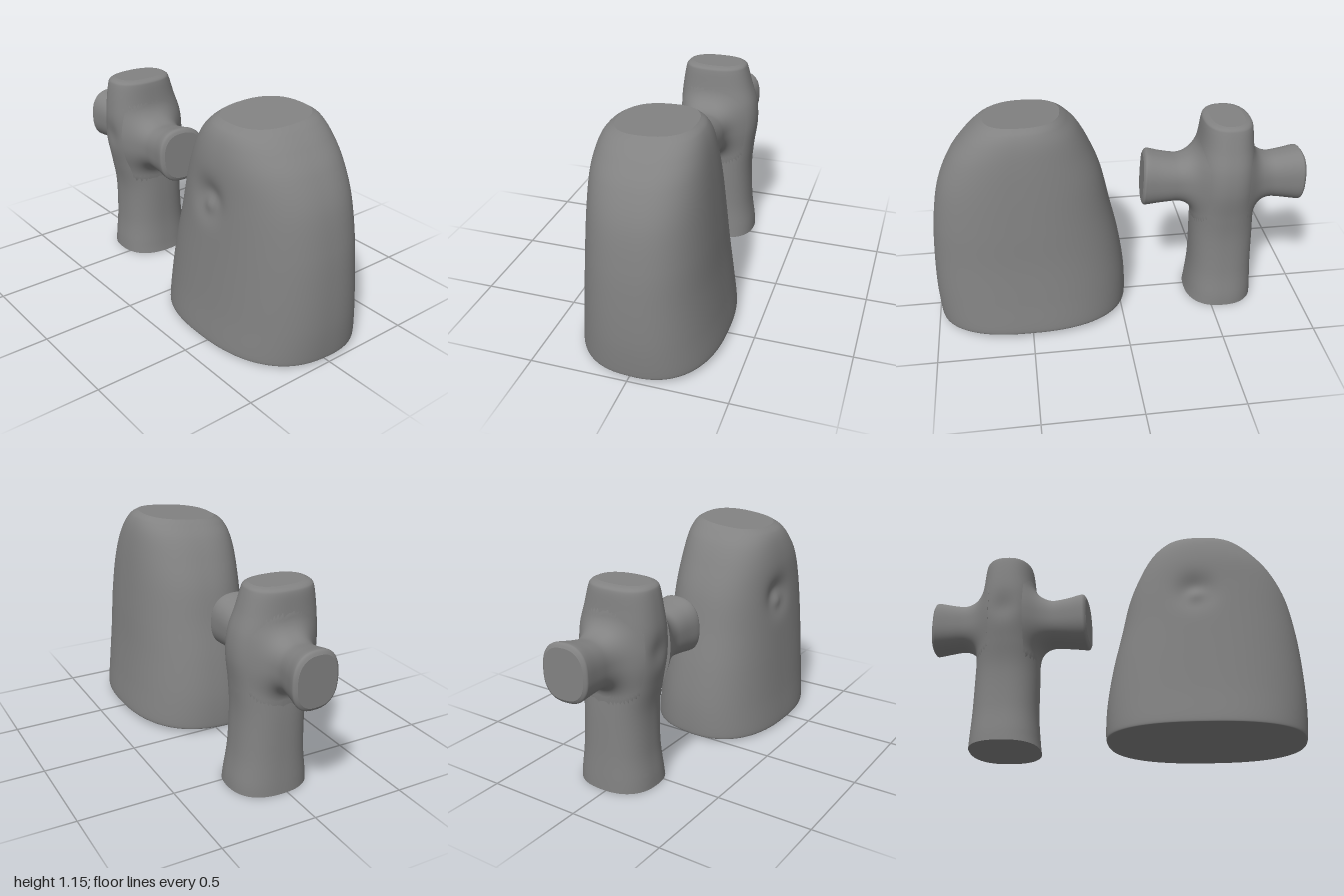
import * as THREE from 'three';

// Catmull-Rom sampling of rows of numbers, by row position u
function sampleRows(rows, u) {
  const i = Math.min(Math.floor(u), rows.length - 2), f = u - i;
  const at = (k) => rows[Math.max(0, Math.min(rows.length - 1, k))];
  return rows[0].map((_, c) => {
    const [a, b, d, e] = [at(i - 1)[c], at(i)[c], at(i + 1)[c], at(i + 2)[c]];
    const m0 = (d - a) / 2, m1 = (e - b) / 2;
    return b + f * (m0 + f * (3 * (d - b) - 2 * m0 - m1 + f * (2 * (b - d) + m0 + m1)));
  });
}

// Skin through superellipse sections. Row: [height, minX, maxX, minZ, maxZ];
// both ends get flat caps with sharp rims.
function loft(rows, { power, steps, segments, warp }) {
  const positions = [], index = [], rings = (rows.length - 1) * steps;
  const p = new THREE.Vector3();
  const push = (x, y, z) => {
    warp(p.set(x, y, z));
    positions.push(p.x, p.y, p.z);
  };
  const ring = (r) => {
    const [y, x0, x1, z0, z1] = sampleRows(rows, r / steps);
    for (let s = 0; s < segments; s++) {
      const t = (s / segments) * Math.PI * 2;
      const c = Math.cos(t), n = Math.sin(t);
      const cx = Math.sign(c) * Math.abs(c) ** (2 / power);
      const cz = Math.sign(n) * Math.abs(n) ** (2 / power);
      push((x0 + x1) / 2 + (cx * (x1 - x0)) / 2, y, (z0 + z1) / 2 + (cz * (z1 - z0)) / 2);
    }
  };
  for (let r = 0; r <= rings; r++) ring(r);
  for (let r = 0; r < rings; r++) {
    for (let s = 0; s < segments; s++) {
      const a = r * segments + s, b = r * segments + ((s + 1) % segments);
      index.push(a, a + segments, b, b, a + segments, b + segments);
    }
  }
  for (const end of [0, rings]) {
    const start = positions.length / 3;
    ring(end);
    const [y, x0, x1, z0, z1] = rows[end / steps];
    push((x0 + x1) / 2, y, (z0 + z1) / 2);
    const centre = start + segments;
    for (let s = 0; s < segments; s++) {
      const a = start + s, b = start + ((s + 1) % segments);
      if (end) index.push(centre, b, a);
      else index.push(centre, a, b);
    }
  }
  const g = new THREE.BufferGeometry();
  g.setAttribute('position', new THREE.Float32BufferAttribute(positions, 3));
  g.setIndex(index);
  g.computeVertexNormals();
  return g;
}

const uprightRows = [
  [0.0, -0.754, -0.38, -0.235, 0.18],
  [0.06, -0.752, -0.388, -0.23, 0.175],
  [0.2, -0.746, -0.4, -0.21, 0.16],
  [0.4, -0.743, -0.402, -0.2, 0.16],
  [0.55, -0.738, -0.405, -0.21, 0.187],
  [0.7, -0.735, -0.408, -0.228, 0.219],
  [0.82, -0.73, -0.415, -0.22, 0.22],
  [0.93, -0.718, -0.437, -0.187, 0.21],
  [1.02, -0.71, -0.45, -0.16, 0.195],
  [1.045, -0.697, -0.46, -0.148, 0.182],
  [1.055, -0.668, -0.488, -0.125, 0.155],
];
const uprightPower = 2.4;

// Approximate distance from a point to the surface of the upright
function uprightDistance(x, y, z) {
  let i = 0;
  while (i < uprightRows.length - 2 && uprightRows[i + 1][0] < y) i++;
  const u = i + (y - uprightRows[i][0]) / (uprightRows[i + 1][0] - uprightRows[i][0]);
  const [, x0, x1, z0, z1] = sampleRows(uprightRows, u);
  const a = (x1 - x0) / 2, b = (z1 - z0) / 2;
  const q = Math.abs((x - (x0 + x1) / 2) / a) ** uprightPower
    + Math.abs((z - (z0 + z1) / 2) / b) ** uprightPower;
  return (q ** (1 / uprightPower) - 1) * Math.min(a, b);
}

// Swell a point away from its arm's axis until it lies on a soft fillet with the upright
function fillet(p, axisY, axisZ) {
  const blend = 0.11, armRadius = 0.13;
  const dy = p.y - axisY, dz = p.z - axisZ;
  let low = 1, high = 2;
  for (let i = 0; i < 18; i++) {
    const t = (low + high) / 2;
    const arm = (t - 1) * armRadius;
    const post = uprightDistance(p.x, axisY + dy * t, axisZ + dz * t);
    const h = Math.max(blend - Math.abs(arm - post), 0) / blend;
    if (Math.min(arm, post) - (h * h * blend) / 4 < 0) low = t;
    else high = t;
  }
  p.y = axisY + dy * low;
  p.z = axisZ + dz * low;
}

export function createModel() {
  const model = new THREE.Group();
  const material = new THREE.MeshStandardMaterial({ color: 0x828282 });
  const add = (name, geometry, parent) => {
    const mesh = new THREE.Mesh(geometry, material);
    mesh.name = name;
    parent.add(mesh);
  };

  // Headstone: wide tapering block with a slanted flat top and a dimple in front
  add('headstone', loft([
    [0.02, -0.02, 0.975, -0.355, 0.36],
    [0.035, -0.035, 0.985, -0.37, 0.37],
    [0.2, -0.03, 0.995, -0.35, 0.352],
    [0.4, 0.0, 0.99, -0.328, 0.335],
    [0.6, 0.045, 0.973, -0.313, 0.32],
    [0.8, 0.09, 0.935, -0.295, 0.308],
    [0.95, 0.15, 0.868, -0.277, 0.3],
    [1.05, 0.205, 0.79, -0.257, 0.28],
    [1.11, 0.26, 0.725, -0.23, 0.25],
    [1.138, 0.295, 0.68, -0.195, 0.205],
  ], {
    power: 2.45, steps: 14, segments: 160,
    warp: (p) => {
      const d = Math.hypot(p.x - 0.455, p.y - 0.76) / 0.088;
      const knob = Math.hypot(p.x - 0.46, p.y - 0.738) / 0.045;
      if (p.z > 0) p.z += -0.042 * Math.exp(-d * d) + 0.03 * Math.exp(-knob * knob);
      p.x -= p.z * 0.08;
      p.y -= p.z * (0.027 + 0.04 * p.y * p.y);
    },
  }), model);

  // Cross: upright that swells where the arms join and flares at the foot
  const cross = new THREE.Group();
  cross.name = 'cross';
  model.add(cross);
  add('upright', loft(uprightRows, {
    power: uprightPower, steps: 8, segments: 96,
    warp: (p) => {
      const d = Math.hypot(p.x + 0.58, p.y - 0.73) / 0.07;
      if (p.z > 0) p.z -= 0.018 * Math.exp(-d * d);
    },
  }), cross);

  // Arms: row height runs outward along x, the section columns are y and z extents
  const armShape = { power: 2.5, steps: 16, segments: 72 };
  add('rightArm', loft([
    [0.67, 0.583, 0.826, -0.115, 0.102],
    [0.72, 0.583, 0.826, -0.115, 0.102],
    [0.77, 0.583, 0.826, -0.115, 0.102],
    [0.83, 0.581, 0.827, -0.117, 0.101],
    [0.9, 0.573, 0.84, -0.13, 0.102],
    [0.96, 0.565, 0.854, -0.144, 0.105],
    [0.978, 0.566, 0.852, -0.143, 0.104],
    [0.99, 0.582, 0.835, -0.128, 0.09],
  ], {
    ...armShape,
    warp: (p) => {
      p.set(-(p.y - 0.06 * p.z), p.x, p.z);
      fillet(p, 0.705, -0.01);
    },
  }), cross);
  add('leftArm', loft([
    [-0.47, -0.828, -0.58, -0.098, 0.152],
    [-0.42, -0.828, -0.58, -0.098, 0.152],
    [-0.37, -0.828, -0.58, -0.098, 0.152],
    [-0.31, -0.828, -0.579, -0.098, 0.152],
    [-0.23, -0.842, -0.572, -0.098, 0.158],
    [-0.165, -0.858, -0.564, -0.1, 0.168],
    [-0.146, -0.855, -0.566, -0.099, 0.166],
    [-0.135, -0.838, -0.584, -0.084, 0.15],
  ], {
    ...armShape,
    warp: (p) => {
      p.set(p.y - 0.08 * (p.z - 0.03) + 0.05 * (p.x + 0.705), -p.x, p.z);
      fillet(p, 0.705, 0.025);
    },
  }), cross);

  return model;
}
